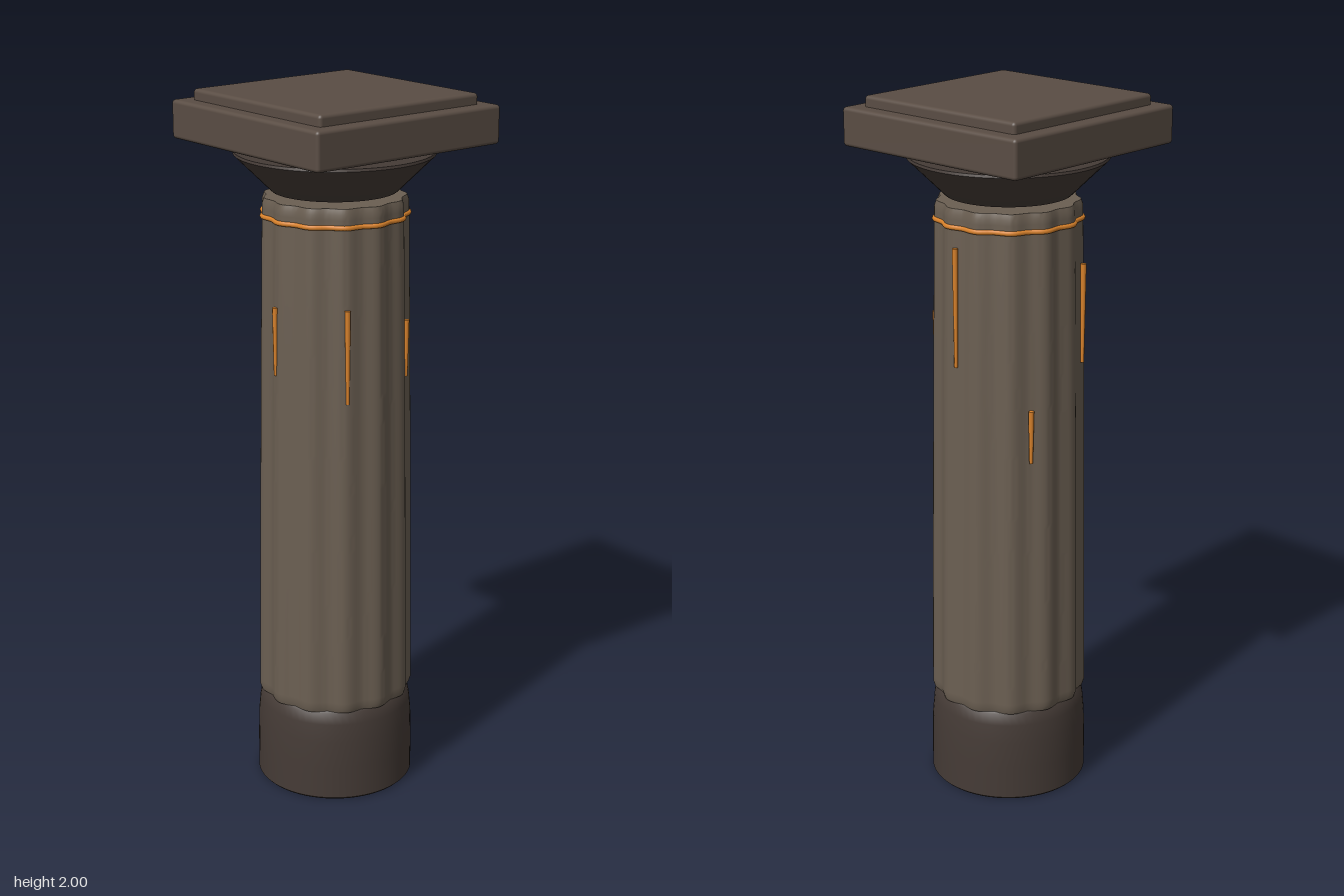
import * as THREE from 'three';
import { toCreasedNormals } from 'three/addons/utils/BufferGeometryUtils.js';
import { RoundedBoxGeometry } from 'three/addons/geometries/RoundedBoxGeometry.js';

const mat = (color) => new THREE.MeshStandardMaterial({ color });
const stone = mat(0x6b5f52), slabStone = mat(0x5a4d44), darkStone = mat(0x453b36), amber = mat(0xd9822b);

const FLUTES = 13, PHASE = (315 * Math.PI) / 180;
// Shallow rounded flutes around the shaft
const flute = (a) => 1 - 0.026 * (1 - Math.cos(FLUTES * (a - PHASE)));
// Shaft radius by height: slight taper with softened ends
const SHAFT_BOTTOM = 0.272, SHAFT_TOP = 1.722;
function shaftRadius(y) {
  const t = (y - SHAFT_BOTTOM) / (SHAFT_TOP - SHAFT_BOTTOM);
  const edge = Math.min(y - SHAFT_BOTTOM, SHAFT_TOP - y);
  return 0.223 - 0.022 * t + 0.006 * t * (1 - t) - 0.005 * Math.max(0, 1 - edge / 0.015);
}

export function createModel() {
  const group = new THREE.Group();
  const add = (name, geometry, material, y = 0) => {
    const mesh = new THREE.Mesh(geometry, material);
    mesh.name = name;
    mesh.position.y = y;
    group.add(mesh);
    return mesh;
  };
  const lathe = (pts) =>
    toCreasedNormals(new THREE.LatheGeometry(pts.map(([r, y]) => new THREE.Vector2(r, y)), 64), 0.6);

  // Round foot, drawn in towards the top
  add('base', lathe([[0, 0], [0.219, 0], [0.225, 0.006], [0.2245, 0.1], [0.223, 0.18],
    [0.218, 0.235], [0.212, 0.268], [0.206, 0.275], [0, 0.275]]), darkStone);

  // Fluted shaft: a cylinder whose vertices follow the taper and flutes
  const rows = 96, height = SHAFT_TOP - SHAFT_BOTTOM;
  const shaft = new THREE.CylinderGeometry(1, 1, height, FLUTES * 12, rows);
  shaft.translate(0, SHAFT_BOTTOM + height / 2, 0);
  const p = shaft.attributes.position;
  for (let i = 0; i < p.count; i++) {
    const x = p.getX(i), z = p.getZ(i);
    const r = shaftRadius(p.getY(i)) * flute(Math.atan2(z, x));
    p.setX(i, x * r);
    p.setZ(i, z * r);
  }
  add('shaft', toCreasedNormals(shaft, 0.7), stone);

  // Glowing band that hugs the flutes
  const band = [];
  for (let i = 0; i < FLUTES * 8; i++) {
    const a = (i / (FLUTES * 8)) * Math.PI * 2;
    const r = (shaftRadius(1.67) - 0.001) * flute(a);
    band.push(new THREE.Vector3(Math.cos(a) * r, 1.672, Math.sin(a) * r));
  }
  add('neckBand', new THREE.TubeGeometry(new THREE.CatmullRomCurve3(band, true), 208, 0.007, 8, true), amber);

  // Thin tapering streaks spaced every 60 degrees: [bottom, top]
  const streaks = [[1.29, 1.62], [1.23, 1.39], [1.19, 1.45], [1.25, 1.44], [1.27, 1.55], [1.03, 1.18]];
  streaks.forEach(([low, high], i) => {
    const a = (i * Math.PI) / 3;
    const streak = add('streak' + (i + 1), new THREE.CylinderGeometry(0.008, 0.005, high - low, 8), amber, (low + high) / 2);
    streak.position.x = Math.cos(a) * 0.208;
    streak.position.z = Math.sin(a) * 0.208;
  });

  // Flared capital, floating above the shaft
  add('capital', lathe([[0, 1.736], [0.172, 1.736], [0.178, 1.741], [0.274, 1.836],
    [0.272, 1.843], [0, 1.843]]), darkStone);

  // Square slab with a raised panel, floating above the capital
  add('slab', new RoundedBoxGeometry(0.624, 0.105, 0.624, 3, 0.01), slabStone, 1.9175);
  add('topPanel', new RoundedBoxGeometry(0.54, 0.06, 0.54, 3, 0.01), slabStone, 1.97);
  return group;
}
